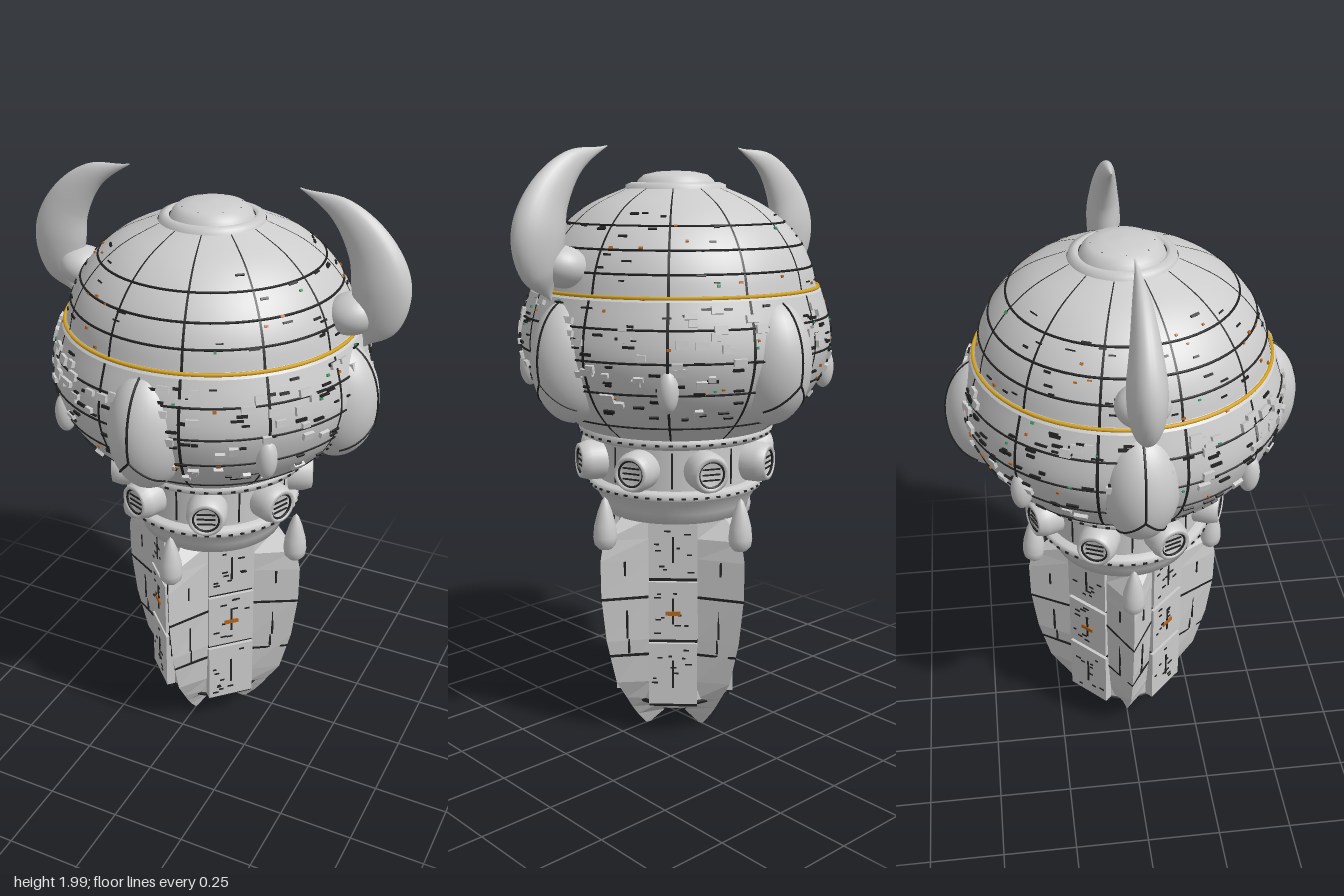
import * as THREE from 'three';
import { mergeGeometries } from 'three/addons/utils/BufferGeometryUtils.js';
import { ParametricGeometry } from 'three/addons/geometries/ParametricGeometry.js';

const V2 = (x, y) => new THREE.Vector2(x, y);
const mat = (color = 0xcccccc, extra = {}) => new THREE.MeshStandardMaterial({ color, ...extra });
const grey = mat();
const flat = mat(0xcccccc, { flatShading: true });
const twoSided = mat(0xcccccc, { side: THREE.DoubleSide });
const dark = mat(0x222222, { side: THREE.DoubleSide });
const yellow = mat(0xd9a520), orange = mat(0xb5651d), green = mat(0x3a9a6a);

let seed = 7;
const rand = () => (seed = (seed * 16807) % 2147483647) / 2147483647;
const range = (a, b) => a + (b - a) * rand();

// Hull profiles, [radius, height] from bottom to top
const smooth = (pts, n) => new THREE.SplineCurve(pts.map(p => V2(...p))).getPoints(n);
const bowl = smooth([[0.33, 1.085], [0.4, 1.14], [0.455, 1.2], [0.495, 1.27], [0.52, 1.36], [0.512, 1.45], [0.485, 1.54]], 28);
const dome = smooth([[0.468, 1.555], [0.452, 1.62], [0.418, 1.69], [0.36, 1.76], [0.28, 1.82], [0.17, 1.868]], 24);
const hull = [...bowl, ...dome];
const hullR = y => {
  const i = Math.max(1, hull.findIndex(p => p.y >= y));
  const a = hull[i - 1], b = hull[i];
  return a.x + (b.x - a.x) * (y - a.y) / (b.y - a.y);
};

// Leg levels: height, ridge radius, inner radius, half width
const legLevels = [
  [0.01, 0.14, 0.125, 0.004], [0.055, 0.18, 0.085, 0.035], [0.09, 0.205, 0.13, 0.048], [0.13, 0.23, 0.17, 0.058],
  [0.2, 0.275, 0.18, 0.07], [0.36, 0.317, 0.19, 0.078], [0.52, 0.338, 0.195, 0.08], [0.65, 0.34, 0.195, 0.08],
  [0.72, 0.325, 0.195, 0.08], [0.79, 0.245, 0.19, 0.08]];
const legAt = (y, grow) => {
  const i = legLevels.findIndex(l => l[0] >= y), a = legLevels[i - 1], b = legLevels[i];
  const t = (y - a[0]) / (b[0] - a[0]);
  const [, o, n, w] = a.map((v, k) => v + (b[k] - v) * t);
  return [y, o + grow, n, w + grow];
};

// Loft of triangular sections
function wedge(levels) {
  const rings = levels.map(([y, o, n, w]) => [[w, y, n], [0, y, o], [-w, y, n]]);
  const pos = [];
  for (let i = 0; i + 1 < rings.length; i++) for (let k = 0; k < 3; k++) {
    const a = rings[i][k], b = rings[i][(k + 1) % 3], c = rings[i + 1][k], d = rings[i + 1][(k + 1) % 3];
    pos.push(...a, ...c, ...b, ...b, ...c, ...d);
  }
  const [p, q, r] = rings.at(-1), [s, t, u] = rings[0];
  pos.push(...p, ...r, ...q, ...s, ...t, ...u);
  const g = new THREE.BufferGeometry();
  g.setAttribute('position', new THREE.Float32BufferAttribute(pos, 3));
  g.computeVertexNormals();
  return g;
}

export function createModel() {
  const model = new THREE.Group();
  const add = (name, geo, material = grey, parent = model) => {
    const m = new THREE.Mesh(geo, material);
    m.name = name;
    parent.add(m);
    return m;
  };
  const lathe = (name, pts, material = grey, parent = model, seg = 64) =>
    add(name, new THREE.LatheGeometry(pts.map(p => p.isVector2 ? p : V2(...p)), seg), material, parent);
  const around = (name, n, offset, build) => {
    for (let i = 0; i < n; i++) {
      const g = new THREE.Group();
      g.name = name;
      g.rotation.y = offset + i * 2 * Math.PI / n;
      model.add(g);
      build(g, i);
    }
  };
  const ellipsoid = (name, parent, r, p) => {
    const m = add(name, new THREE.SphereGeometry(1, 32, 20), grey, parent);
    m.scale.set(...r);
    m.position.set(...p);
    return m;
  };
  const hoop = (name, r, y, tube, material) => {
    const m = add(name, new THREE.TorusGeometry(r, tube, 6, 72), material);
    m.rotation.x = Math.PI / 2;
    m.position.y = y;
  };

  // Head
  lathe('lowerHull', bowl);
  lathe('hullLedge', [[0.485, 1.54], [0.468, 1.556]]);
  lathe('upperDome', dome);
  lathe('crownRing', [[0.17, 1.855], [0.165, 1.88], [0.145, 1.888], [0.135, 1.88]]);
  lathe('crownCap', [[0.135, 1.87], [0.125, 1.895], [0.105, 1.912], [0.06, 1.922], [0, 1.925]]);
  for (const y of [1.14, 1.26, 1.36, 1.46, 1.62, 1.69, 1.76]) hoop('hullSeam', hullR(y), y, 0.004, dark);
  hoop('yellowBand', 0.475, 1.552, 0.006, yellow);
  const strip = (pts, phi) => new THREE.LatheGeometry(pts.map(p => V2(p.x + 0.003, p.y + 0.001)), 1, phi - 0.009, 0.018);
  const strips = [];
  for (let i = 0; i < 12; i++) {
    const phi = (i + 0.5) * Math.PI / 6;
    strips.push(strip(bowl, phi), strip(dome, phi));
  }
  add('meridianSeams', mergeGeometries(strips), dark);
  const spokes = [];
  for (let i = 0; i < 4; i++) spokes.push(new THREE.BoxGeometry(0.2, 0.004, 0.003).rotateY(i * Math.PI / 4).translate(0, 1.912, 0));
  add('capSpokes', mergeGeometries(spokes), dark);

  // Small surface details on the hull
  const scatter = (name, material, count, y0, y1, w, h, d) => {
    const list = [], o = new THREE.Object3D();
    o.rotation.order = 'YXZ';
    for (let i = 0; i < count; i++) {
      const y = range(y0, y1), phi = range(0, Math.PI * 2), r = hullR(y);
      o.position.set(r * Math.sin(phi), y, r * Math.cos(phi));
      o.rotation.set(-Math.atan2(hullR(y - 0.01) - hullR(y + 0.01), 0.02), phi, 0);
      o.updateMatrix();
      list.push(new THREE.BoxGeometry(range(w / 2, w), range(h / 2, h), d).applyMatrix4(o.matrix));
    }
    add(name, mergeGeometries(list), material);
  };
  scatter('hullBlocks', grey, 130, 1.18, 1.52, 0.045, 0.028, 0.022);
  scatter('hullVents', dark, 200, 1.16, 1.53, 0.04, 0.01, 0.012);
  scatter('domeVents', dark, 70, 1.57, 1.8, 0.035, 0.008, 0.008);
  scatter('orangeLights', orange, 50, 1.18, 1.78, 0.014, 0.009, 0.01);
  scatter('greenLights', green, 30, 1.18, 1.78, 0.012, 0.009, 0.01);

  // Four large pods with forked seams
  around('sidePod', 4, 0, g => {
    const R = [0.125, 0.2, 0.14], C = [0, 1.34, 0.437];
    ellipsoid('podShell', g, R, C);
    const line = (x0, y0, x1, y1) => {
      const pts = [];
      for (let i = 0; i <= 12; i++) {
        const x = x0 + (x1 - x0) * i / 12, y = y0 + (y1 - y0) * i / 12;
        const z = R[2] * Math.sqrt(Math.max(0, 1 - (x / R[0]) ** 2 - (y / R[1]) ** 2));
        pts.push(new THREE.Vector3(x, y + C[1], z + C[2]));
      }
      add('podSeam', new THREE.TubeGeometry(new THREE.CatmullRomCurve3(pts), 16, 0.004, 5), dark, g);
    };
    line(0, 0.19, 0, -0.06);
    for (const s of [-1, 1]) line(0, -0.06, s * 0.075, -0.145);
  });
  around('hullStud', 4, Math.PI / 4, g => ellipsoid('studShell', g, [0.033, 0.068, 0.035], [0, 1.275, 0.5]));

  // Horns: tapering crescents on round bosses
  const spine = new THREE.CatmullRomCurve3([[0.52, 1.535], [0.555, 1.62], [0.562, 1.73], [0.525, 1.84], [0.43, 1.945], [0.29, 2]]
    .map(p => new THREE.Vector3(...p, 0)));
  const girth = new THREE.SplineCurve([V2(0.004, 0.004), V2(0.07, 0.045), V2(0.093, 0.058), V2(0.076, 0.046), V2(0.043, 0.026), V2(0.002, 0.002)]);
  const horn = new ParametricGeometry((u, v, out) => {
    const c = spine.getPoint(u), t = spine.getTangent(u), s = girth.getPoint(u), a = v * 2 * Math.PI;
    out.set(c.x + t.y * s.x * Math.cos(a), c.y - t.x * s.x * Math.cos(a), s.y * Math.sin(a));
  }, 36, 24);
  around('horn', 2, 0, g => {
    add('hornCrescent', horn, twoSided, g);
    ellipsoid('hornBoss', g, [0.085, 0.066, 0.082], [0.475, 1.635, 0]).rotation.z = 0.2;
  });

  // Neck, rims and funnel
  lathe('upperRim', [[0.25, 1.035], [0.31, 1.05], [0.33, 1.06], [0.333, 1.078], [0.32, 1.09]]);
  lathe('neck', [[0.27, 0.89], [0.27, 1.045]]);
  lathe('lowerRim', [[0.26, 0.868], [0.295, 0.872], [0.303, 0.885], [0.295, 0.9], [0.26, 0.905]]);
  lathe('funnel', [[0.18, 0.775], [0.245, 0.785], [0.255, 0.82], [0.275, 0.855], [0.29, 0.875]]);
  const rivets = [];
  for (let i = 0; i < 48; i++) for (const [r, y] of [[0.334, 1.069], [0.303, 0.886]])
    rivets.push(new THREE.BoxGeometry(0.014, 0.006, 0.004).translate(0, y, r).rotateY(i * Math.PI / 24));
  add('rimSlots', mergeGeometries(rivets), dark);
  around('neckPort', 8, Math.PI / 8, g => {
    const p = new THREE.Group();
    p.name = 'port';
    p.position.y = 0.972;
    p.rotation.x = Math.PI / 2;
    g.add(p);
    lathe('portBody', [[0.055, 0.22], [0.067, 0.26], [0.067, 0.315], [0.058, 0.345], [0.046, 0.348], [0.045, 0.336], [0, 0.336]], grey, p, 28);
    add('portRing', new THREE.TorusGeometry(0.043, 0.004, 6, 28).rotateX(Math.PI / 2).translate(0, 0.34, 0), dark, p);
    for (const z of [-0.018, 0, 0.018]) add('portBar', new THREE.BoxGeometry(0.06, 0.006, 0.005).translate(0, 0.337, z), dark, p);
  });
  around('neckSeam', 8, 0, g => add('neckLine', new THREE.BoxGeometry(0.006, 0.12, 0.004).translate(0, 0.972, 0.27), dark, g));

  // Lower body: core, ridged legs, teardrops and diagonal panels
  lathe('core', [[0, 0.075], [0.12, 0.08], [0.165, 0.095], [0.19, 0.13], [0.19, 0.79]], grey, model, 32);
  hoop('coreRing', 0.185, 0.122, 0.009, dark);
  around('leg', 4, 0, g => {
    add('ridgedLeg', wedge(legLevels), flat, g);
    for (const y of [0.3, 0.51]) add('legSeam', wedge([legAt(y, 0.0025), legAt(y + 0.009, 0.0025)]), dark, g);
    const side = Math.atan2(0.08, 0.14);
    for (const s of [-1, 1]) for (const [y, h] of [[0.62, 0.05], [0.42, 0.1], [0.34, 0.05]]) {
      const [, o, n, w] = legAt(y, 0);
      const m = add('legSlot', new THREE.BoxGeometry(0.006, h, 0.006), dark, g);
      m.position.set(s * w / 2, y, (o + n) / 2);
      m.rotation.y = s * side;
    }
    const drop = lathe('teardrop', [[0, 0.69], [0.022, 0.694], [0.036, 0.71], [0.04, 0.735], [0.036, 0.775], [0.023, 0.825], [0.01, 0.86], [0, 0.872]], grey, g, 20);
    drop.position.z = 0.318;
  });
  around('diagonalPanel', 4, Math.PI / 4, g => {
    for (const [y0, y1] of [[0.585, 0.785], [0.365, 0.57], [0.13, 0.35]]) {
      const h = y1 - y0, y = (y0 + y1) / 2;
      add('panelPlate', new THREE.BoxGeometry(0.165, h, 0.03).translate(0, y, 0.19), grey, g);
      add('panelGap', new THREE.BoxGeometry(0.165, 0.015, 0.01).translate(0, y0 - 0.007, 0.188), dark, g);
      add('panelSlot', new THREE.BoxGeometry(0.007, h * 0.45, 0.006).translate(0, y, 0.205), dark, g);
      const bits = [];
      for (let i = 0; i < 9; i++)
        bits.push(new THREE.BoxGeometry(range(0.01, 0.025), 0.005, 0.006).translate(range(-0.065, 0.065), y + range(-0.42, 0.42) * h, 0.205));
      add('panelVents', mergeGeometries(bits), dark, g);
    }
    add('panelLight', new THREE.BoxGeometry(0.05, 0.014, 0.008).translate(0, 0.46, 0.206), orange, g);
  });

  return model;
}
